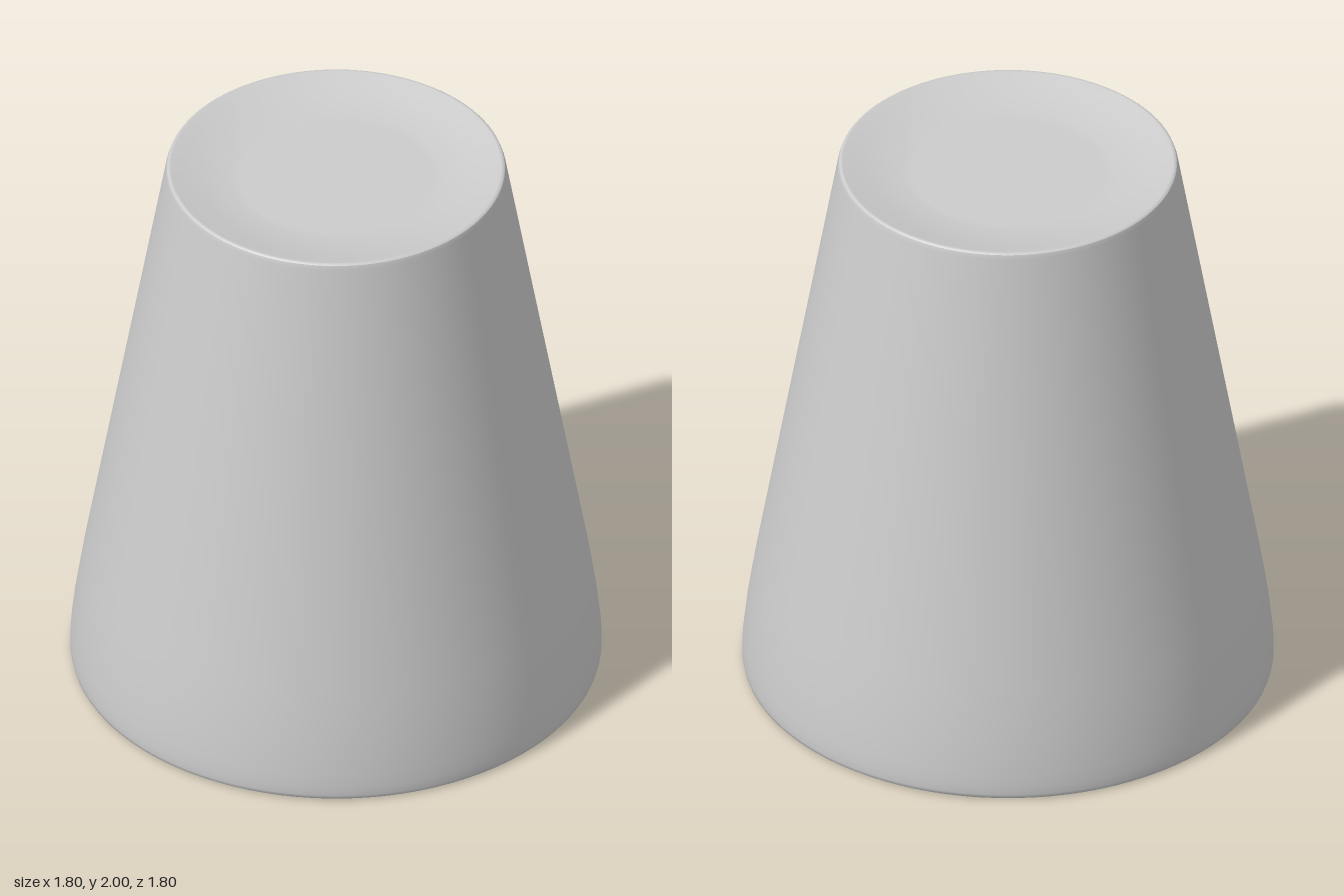
import * as THREE from 'three';

const SEGMENTS = 96;

export function createModel() {
  const cup = new THREE.Group();
  cup.name = 'upturnedCup';
  const material = new THREE.MeshStandardMaterial({ color: 0xcccccc });

  // Each smooth stretch of the profile is its own lathe, so edges between them stay crisp.
  function turned(name, profile) {
    const points = profile.map(([r, y]) => new THREE.Vector2(r, y));
    const mesh = new THREE.Mesh(new THREE.LatheGeometry(points, SEGMENTS), material);
    mesh.name = name;
    cup.add(mesh);
  }

  // Hollow inside: ceiling, rounded corner, then down the wall to the mouth
  turned('innerCeiling', [[0, 1.86], [0.34, 1.86], [0.42, 1.87]]);
  turned('innerWall', [
    [0.42, 1.87], [0.47, 1.86], [0.495, 1.82], [0.51, 1.75], [0.665, 0.9],
    [0.765, 0.36], [0.79, 0.2], [0.805, 0.08], [0.81, 0],
  ]);

  // Flat lip the cup stands on
  turned('lip', [[0.81, 0], [0.89, 0]]);

  // Tapered outer wall, easing to vertical near the lip
  turned('outerWall', [
    [0.89, 0], [0.899, 0.007], [0.902, 0.02], [0.902, 0.05], [0.899, 0.1], [0.888, 0.2],
    [0.873, 0.3], [0.857, 0.4], [0.755, 0.98], [0.665, 1.49], [0.579, 1.98], [0.574, 1.995],
  ]);

  // Narrow rounded edge leading into the dished base
  turned('dishedBase', [
    [0.574, 1.995], [0.568, 2], [0.56, 1.999], [0.52, 1.988], [0.46, 1.973],
    [0.4, 1.962], [0.35, 1.957], [0.33, 1.956], [0, 1.956],
  ]);

  return cup;
}
